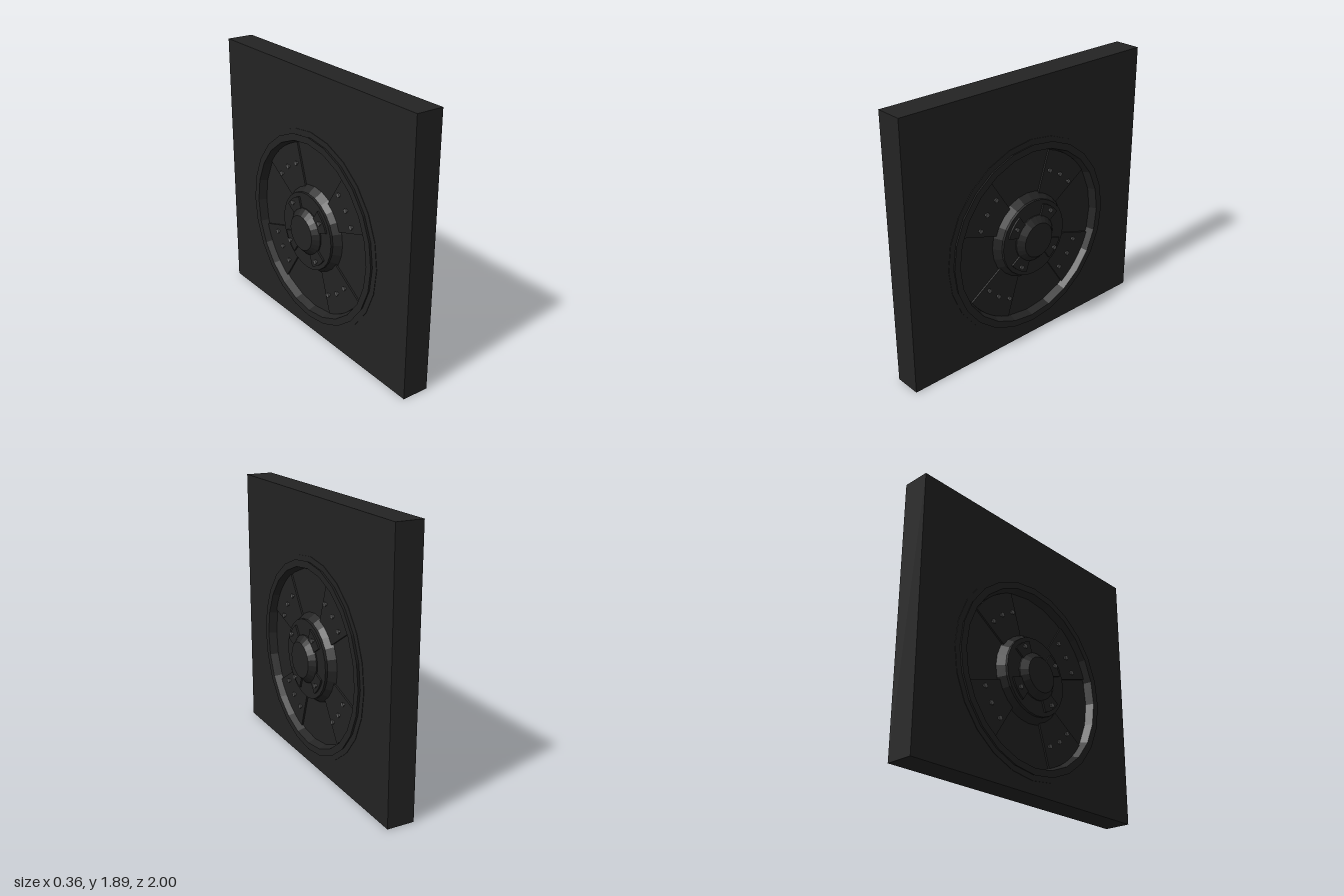
import * as THREE from 'three';

const CY = 0.787; // height of the wheel axis
const SEG = 24;

export function createModel() {
  const group = new THREE.Group();
  const black = new THREE.MeshStandardMaterial({ color: 0x232323, flatShading: true });
  black.name = 'black';
  const steel = new THREE.MeshStandardMaterial({ color: 0x585858, flatShading: true });
  steel.name = 'steel grey';

  const add = (name, geo, mat, y = 0, x = 0, z = 0) => {
    const mesh = new THREE.Mesh(geo, mat);
    mesh.name = name;
    mesh.position.set(x, y, z);
    group.add(mesh);
  };

  // Extrudes a shape through the full thickness, shape x pointing to -z
  const through = (shape, half) => {
    const geo = new THREE.ExtrudeGeometry(shape, { depth: half * 2, bevelEnabled: false, curveSegments: SEG });
    return geo.translate(0, 0, -half).rotateY(Math.PI / 2);
  };

  // Square slab with a round opening for the wheel
  const slab = new THREE.Shape([[-1, 0], [1, 0], [1, 1.89], [-1, 1.89]].map(p => new THREE.Vector2(...p)));
  slab.holes.push(new THREE.Path().absarc(0, CY, 0.65, 0, Math.PI * 2, true));
  add('slab', through(slab, 0.095), black);

  // Turned parts, mirrored about the middle of the slab
  const turned = half => {
    const right = half.map(([r, x]) => new THREE.Vector2(r, x));
    const left = half.map(([r, x]) => new THREE.Vector2(r, -x)).reverse();
    return new THREE.LatheGeometry([...left, ...right], SEG).rotateZ(-Math.PI / 2);
  };
  // Flange, raised rim and recessed dish
  add('rimAndDish', turned([
    [0.7, 0.098], [0.66, 0.098], [0.67, 0.12], [0.622, 0.12], [0.603, 0.065], [0, 0.065],
  ]), black, CY);
  // Raised hub with a bevelled cap
  add('hub', turned([
    [0.31, 0.065], [0.273, 0.115], [0.273, 0.132], [0.165, 0.132], [0.165, 0.14], [0.123, 0.18], [0, 0.18],
  ]), black, CY);

  // Ring sector centred on an angle
  const sector = (r0, r1, mid, spread) => {
    const s = new THREE.Shape();
    s.absarc(0, 0, r1, mid - spread, mid + spread, false);
    s.absarc(0, 0, r0, mid + spread, mid - spread, true);
    s.closePath();
    return s;
  };

  // Bolt with a narrow neck and a six-sided head, on both faces
  const neck = new THREE.CylinderGeometry(0.01, 0.01, 0.02, 6).rotateZ(-Math.PI / 2);
  const head = new THREE.CylinderGeometry(0.017, 0.014, 0.012, 6).rotateZ(-Math.PI / 2);
  const headBack = head.clone().rotateY(Math.PI);
  const bolt = (r, a, x) => {
    const y = CY + r * Math.sin(a), z = -r * Math.cos(a);
    for (const side of [1, -1]) {
      add('boltNeck', neck, steel, y, side * (x + 0.005), z);
      add('boltHead', side > 0 ? head : headBack, steel, y, side * (x + 0.012), z);
    }
  };

  // Four bolted plates on the dish and four pads on the hub
  for (let i = 0; i < 4; i++) {
    const mid = THREE.MathUtils.degToRad(52.7 + 90 * i);
    add('dishPlate', through(sector(0.29, 0.6, mid, 0.34), 0.077), black, CY);
    add('hubPad', through(sector(0.16, 0.242, mid, 0.33), 0.144), black, CY);
    for (const k of [-1, 0, 1]) bolt(0.462, mid + k * 0.242, 0.077);
    bolt(0.214, mid, 0.144);
  }
  return group;
}
